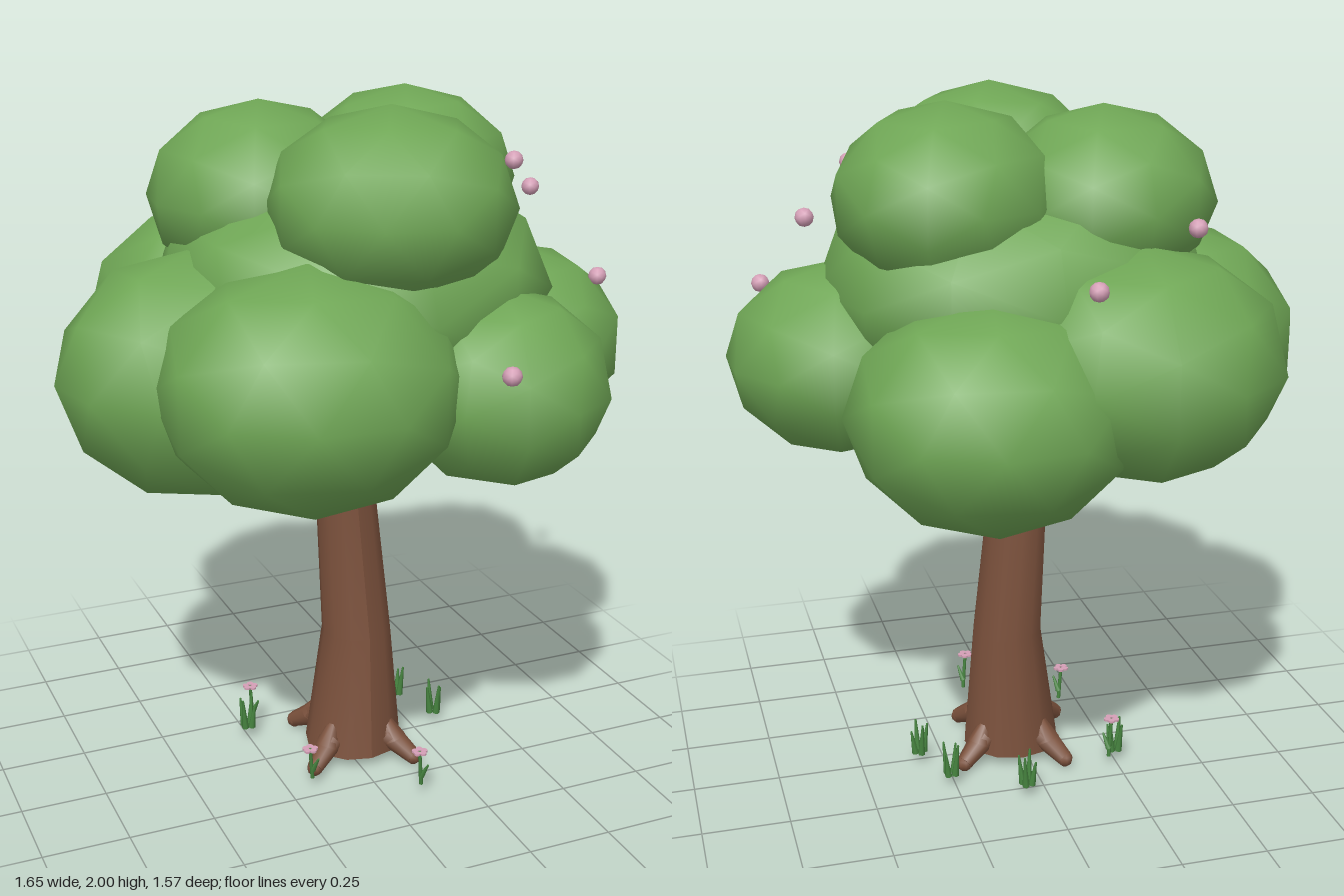
import * as THREE from 'three';

const mat = (name, color) => {
  const m = new THREE.MeshStandardMaterial({ color });
  m.name = name;
  return m;
};

export function createModel() {
  const foliage = mat('foliage green', 0x6fa655);
  const bark = mat('bark brown', 0x7b513c);
  const grass = mat('grass green', 0x478540);
  const pink = mat('blossom pink', 0xd49fb6);

  const tree = new THREE.Group();
  tree.name = 'tree';
  const add = (parent, name, geometry, material, position = [0, 0, 0]) => {
    const mesh = new THREE.Mesh(geometry, material);
    mesh.name = name;
    mesh.position.set(...position);
    parent.add(mesh);
    return mesh;
  };
  const group = (name, x = 0, y = 0, z = 0) => {
    const g = new THREE.Group();
    g.name = name;
    g.position.set(x, y, z);
    tree.add(g);
    return g;
  };

  // Tapered limb between two points
  const limb = (parent, name, from, to, r0, r1, sides, material) => {
    const a = new THREE.Vector3(...from), b = new THREE.Vector3(...to);
    const dir = b.clone().sub(a);
    const geo = new THREE.CylinderGeometry(r1, r0, dir.length(), sides);
    const mesh = add(parent, name, geo, material);
    mesh.position.copy(a).add(b).multiplyScalar(0.5);
    mesh.quaternion.setFromUnitVectors(new THREE.Vector3(0, 1, 0), dir.normalize());
    return mesh;
  };

  // Trunk: rings of a cylinder moved onto a gently bent, tapering axis
  // Each ring: y, centre x, centre z, radius
  const rings = [
    [1.25, 0.04, 0.02, 0.06],
    [1.04, 0.025, 0.015, 0.07],
    [0.85, 0.01, 0.005, 0.088],
    [0.4, 0.043, 0.012, 0.104],
    [0.03, 0.03, 0.02, 0.146],
  ];
  const trunkGeo = new THREE.CylinderGeometry(1, 1, 4, 12, 4);
  const p = trunkGeo.attributes.position;
  for (let i = 0; i < p.count; i++) {
    const [y, cx, cz, r] = rings[Math.round(2 - p.getY(i))];
    p.setXYZ(i, cx + p.getX(i) * r, y, cz + p.getZ(i) * r);
  }
  trunkGeo.computeVertexNormals();
  add(tree, 'trunk', trunkGeo, bark);

  // Branches
  limb(tree, 'leftBranch', [0.06, 0.85, -0.01], [0.29, 1.12, -0.17], 0.042, 0.035, 8, bark);
  limb(tree, 'rightBranch', [-0.02, 0.86, 0.01], [-0.23, 1.05, 0.07], 0.045, 0.032, 8, bark);

  // Four roots, a quarter turn apart, each with a rounded tip
  for (let i = 0; i < 4; i++) {
    const a = 0.96 + i * Math.PI / 2;
    const at = (r, y) => [0.03 + Math.cos(a) * r, y, 0.02 + Math.sin(a) * r];
    limb(tree, 'root', at(0.11, 0.13), at(0.15, 0.065), 0.016, 0.036, 8, bark);
    limb(tree, 'root', at(0.13, 0.075), at(0.215, 0.026), 0.038, 0.024, 8, bark);
    add(tree, 'rootTip', new THREE.SphereGeometry(0.024, 8, 6), bark, at(0.215, 0.025));
  }

  // Crown: overlapping squashed balls, given as centre then radii
  const crown = group('crown');
  [
    [0.02, 1.48, 0.02, 0.56, 0.34, 0.56],
    [0.02, 1.735, 0.28, 0.335, 0.265, 0.34],
    [0.235, 1.735, -0.1, 0.315, 0.26, 0.325],
    [-0.2, 1.715, -0.11, 0.315, 0.26, 0.315],
    [-0.255, 1.305, 0.39, 0.415, 0.33, 0.4],
    [0.28, 1.255, 0.425, 0.305, 0.27, 0.31],
    [0.5, 1.275, 0.07, 0.33, 0.275, 0.33],
    [0.19, 1.22, -0.4, 0.39, 0.315, 0.4],
    [-0.23, 1.32, -0.37, 0.4, 0.32, 0.4],
    [-0.44, 1.27, 0.04, 0.395, 0.345, 0.37],
  ].forEach(([x, y, z, rx, ry, rz], i) => {
    const geo = new THREE.IcosahedronGeometry(1, 1);
    geo.rotateY(i * 1.1);
    geo.scale(rx, ry, rz);
    add(crown, 'leafBall', geo, foliage, [x, y, z]);
  });

  // Blossoms dotted over the crown
  const blossoms = group('blossoms');
  [
    [0.455, 1.805, 0.147], [0.607, 1.69, -0.025], [0.708, 1.465, 0.202],
    [0.148, 1.385, 0.732], [-0.025, 1.588, -0.637], [-0.358, 1.688, -0.433],
  ].forEach((at) => add(blossoms, 'blossom', new THREE.IcosahedronGeometry(0.026, 1), pink, at));

  // Grass tufts
  for (const [x, z] of [[-0.25, -0.156], [0.06, -0.285], [0.262, -0.17], [0.325, -0.018]]) {
    const tuft = group('grassTuft', x, 0.035, z);
    for (let i = 0; i < 4; i++) {
      const a = i * Math.PI / 2 + x * 9, c = Math.cos(a), s = Math.sin(a);
      limb(tuft, 'grassBlade', [c * 0.014, 0, s * 0.014],
        [c * 0.026, 0.09 + 0.015 * Math.sin(i * 2.3), s * 0.026], 0.011, 0.003, 6, grass);
    }
  }

  // Small flowers with flat five-petalled heads and one leaf
  for (const [x, z, top] of [[0.09, 0.37, 0.148], [-0.19, 0.215, 0.137], [-0.23, -0.185, 0.155]]) {
    const flower = group('flower', x, 0, z);
    limb(flower, 'stem', [0.01, 0.035, -0.008], [0, top, 0], 0.006, 0.005, 6, grass);
    limb(flower, 'flowerLeaf', [0.01, 0.06, -0.008], [0.022, 0.105, 0.012], 0.009, 0.003, 6, grass);
    for (let i = 0; i < 5; i++) {
      const a = i * Math.PI * 0.4;
      add(flower, 'petal', new THREE.CylinderGeometry(0.01, 0.01, 0.006, 8), pink,
        [Math.cos(a) * 0.014, top, Math.sin(a) * 0.014]);
    }
  }

  return tree;
}
